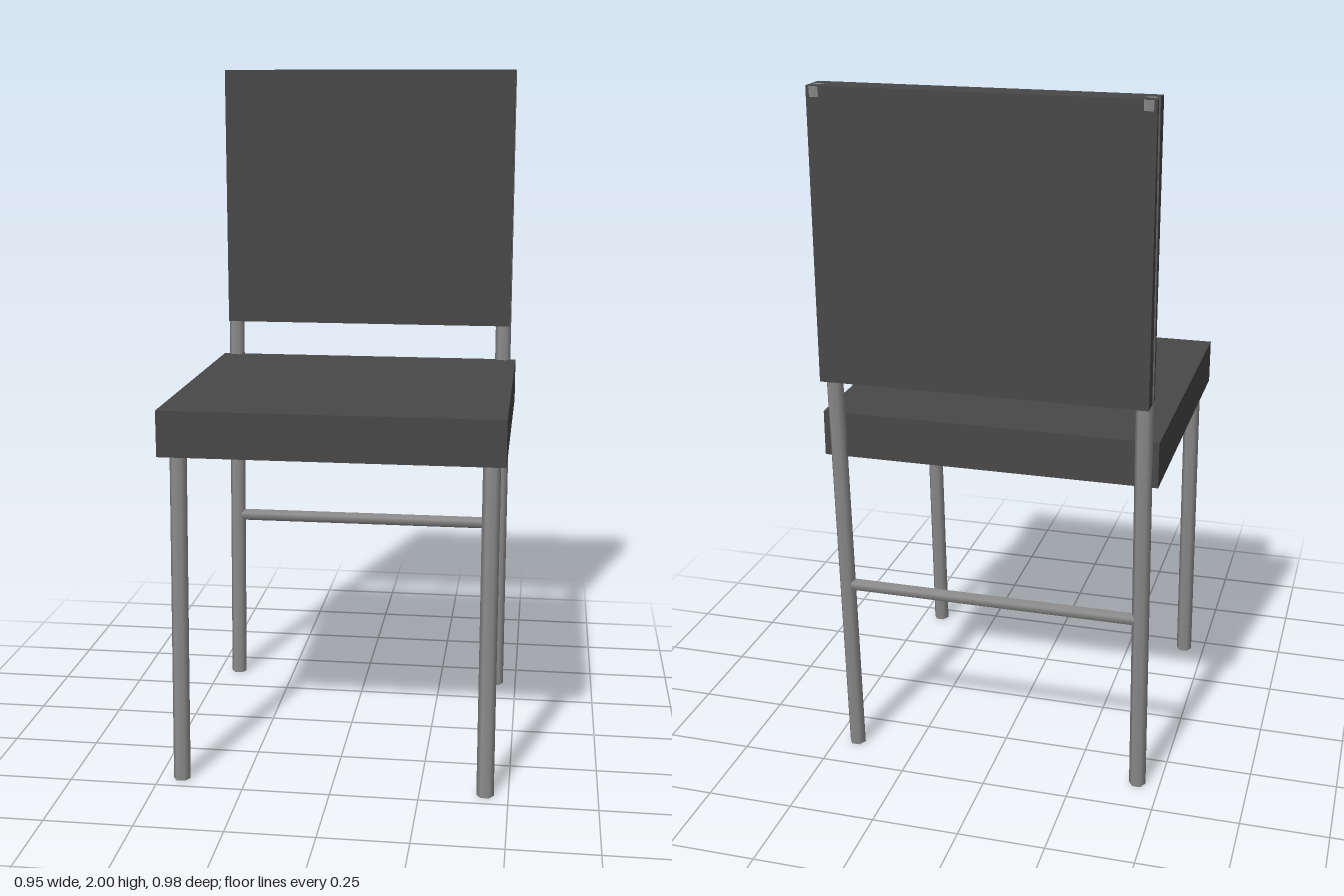
import * as THREE from 'three';

export function createModel() {
  const group = new THREE.Group();
  const padding = new THREE.MeshStandardMaterial({ color: 0x484848 });
  padding.name = 'dark padding';
  const metal = new THREE.MeshStandardMaterial({ color: 0x8c8c8c });
  metal.name = 'grey metal';

  const box = (name, w, h, d, y, z) => {
    const mesh = new THREE.Mesh(new THREE.BoxGeometry(w, h, d), padding);
    mesh.name = name;
    mesh.position.set(0, y, z);
    group.add(mesh);
  };

  // Six-sided rod with smooth sides between two points
  const rod = (name, radius, from, to) => {
    const a = new THREE.Vector3(...from), b = new THREE.Vector3(...to);
    const dir = b.clone().sub(a);
    const geometry = new THREE.CylinderGeometry(radius, radius, dir.length(), 6);
    geometry.rotateY(Math.PI / 6);
    const mesh = new THREE.Mesh(geometry, metal);
    mesh.name = name;
    mesh.position.copy(a).add(b).multiplyScalar(0.5);
    mesh.quaternion.setFromUnitVectors(new THREE.Vector3(0, 1, 0), dir.normalize());
    group.add(mesh);
  };

  // Cushions
  box('seat', 0.952, 0.13, 0.912, 1.025, 0.031);
  box('backrest', 0.912, 0.8, 0.084, 1.6, -0.445);

  // Slanted legs; the rear pair runs up through the backrest
  for (const [side, x] of [['left', 0.435], ['right', -0.435]]) {
    rod(side + 'FrontLeg', 0.0245, [x, 0.001, 0.449], [x, 0.99, 0.403]);
    rod(side + 'RearPost', 0.0245, [x, 0.001, -0.379], [x, 1.9995, -0.467]);
  }

  // Crossbar between the rear posts
  rod('rearCrossbar', 0.019, [-0.435, 0.547, -0.403], [0.435, 0.547, -0.403]);

  return group;
}
